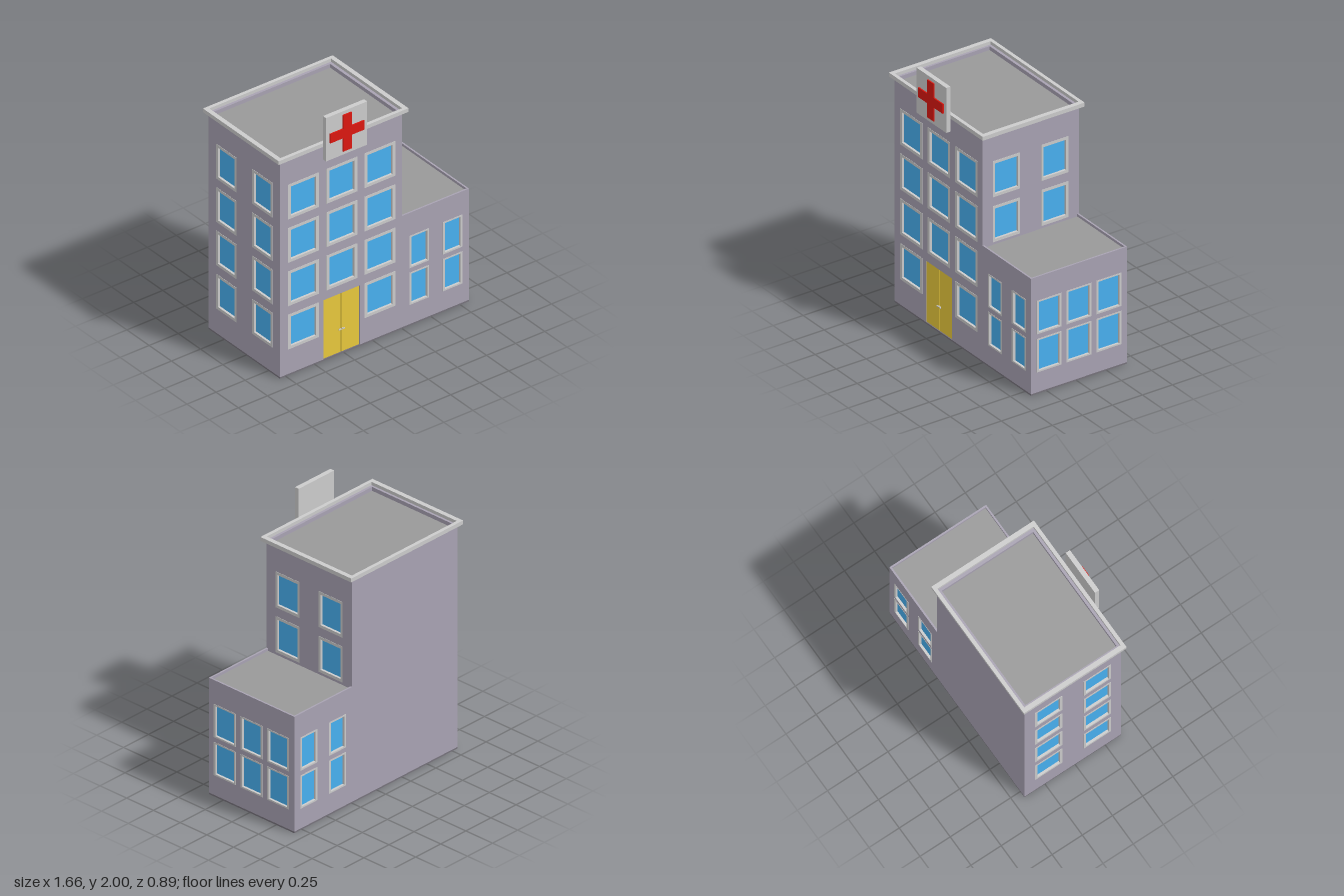
import * as THREE from 'three';

const mat = (color) => new THREE.MeshStandardMaterial({ color });
const WALL = mat(0xa8a2b2), GREY = mat(0xcccccc), GLASS = mat(0x48b0f0), ROOF = mat(0x999999);
const DOOR = mat(0xe8c83c), RED = mat(0xdc1810), DARK = mat(0x77737c);

const BASE = 0.012;               // height of the foundation
const BACK = -0.42, FRONT = 0.38; // shared depth of both blocks
const MID = (BACK + FRONT) / 2;

function add(parent, name, geometry, material, x = 0, y = 0, z = 0) {
  const mesh = new THREE.Mesh(geometry, material);
  mesh.name = name;
  mesh.position.set(x, y, z);
  parent.add(mesh);
  return mesh;
}

function box(parent, name, material, x0, x1, y0, y1, z0, z1) {
  return add(parent, name, new THREE.BoxGeometry(x1 - x0, y1 - y0, z1 - z0), material,
    (x0 + x1) / 2, (y0 + y1) / 2, (z0 + z1) / 2);
}

const corners = (x0, x1, y0, y1) =>
  [[x0, y0], [x1, y0], [x1, y1], [x0, y1]].map(([x, y]) => new THREE.Vector2(x, y));

const extrude = (shape, depth) => new THREE.ExtrudeGeometry(shape, { depth, bevelEnabled: false });

// Rectangular ring, open through the middle
function ring(outer, inner, depth) {
  const shape = new THREE.Shape(corners(...outer));
  shape.holes.push(new THREE.Path(corners(...inner)));
  return extrude(shape, depth);
}

// Every combination of column and row centres at one window size
const grid = (xs, ys, size) => ys.flatMap((y) => xs.map((x) => ({ x, y, ...size })));

// Wall panel whose outer face is local z = 0, with framed recessed windows and an optional doorway
function wall(parent, name, [x0, x1], top, t, windows, door) {
  const group = new THREE.Group();
  group.name = name;
  const outline = corners(x0, x1, BASE, top);
  if (door) {
    const [a, b, h] = door;
    outline.splice(1, 0, ...[[a, BASE], [a, h], [b, h], [b, BASE]].map((p) => new THREE.Vector2(...p)));
  }
  const shape = new THREE.Shape(outline);
  for (const { x, y, w, h, pw, ph } of windows) {
    const outer = [x - w / 2, x + w / 2, y - h / 2, y + h / 2];
    const inner = [x - pw / 2, x + pw / 2, y - ph / 2, y + ph / 2];
    shape.holes.push(new THREE.Path(corners(...outer)));
    add(group, 'windowFrame', ring(outer, inner, 0.024), GREY, 0, 0, -0.022);
    box(group, 'windowPane', GLASS, inner[0], inner[1], inner[2], inner[3], -0.021, -0.016);
  }
  add(group, 'wallPanel', extrude(shape, t), WALL, 0, 0, -t);
  parent.add(group);
  return group;
}

function buildTower() {
  const tower = new THREE.Group();
  tower.name = 'tower';
  const x0 = -0.8, x1 = 0.25, top = 1.755, t = 0.022;
  const floors = [0.35, 0.7, 1.05, 1.4];
  const large = { w: 0.265, h: 0.28, pw: 0.215, ph: 0.236 };
  const narrow = { w: 0.225, h: 0.28, pw: 0.188, ph: 0.236 };

  // Walls
  const frontWindows = grid([-0.6, -0.27, 0.057], floors, large)
    .filter((o) => !(o.x === -0.27 && o.y === 0.35));
  wall(tower, 'frontWall', [x0, x1], top, t, frontWindows, [-0.427, -0.113, 0.49]).position.z = FRONT;
  const back = wall(tower, 'backWall', [-x1, -x0], top, t, []);
  back.position.z = BACK;
  back.rotation.y = Math.PI;
  const right = wall(tower, 'wingSideWall', [-FRONT + t, -BACK - t], top, t,
    grid([-0.183, 0.22], floors.slice(2), narrow));
  right.position.x = x1;
  right.rotation.y = Math.PI / 2;
  const left = wall(tower, 'outerSideWall', [BACK + t, FRONT - t], top, t,
    grid([-0.22, 0.183], floors, narrow));
  left.position.x = x0;
  left.rotation.y = -Math.PI / 2;

  // Recessed roof and overhanging rim
  box(tower, 'towerRoof', ROOF, x0 + t, x1 - t, 1.70, 1.725, BACK + t, FRONT - t);
  const rim = ring([-0.83, 0.285, -0.405, 0.445], [-0.795, 0.25, -0.378, 0.418], 0.03);
  add(tower, 'roofRim', rim, GREY, 0, 1.75, 0).rotation.x = -Math.PI / 2;
  return tower;
}

function buildWing() {
  const wing = new THREE.Group();
  wing.name = 'wing';
  const x0 = 0.25, x1 = 0.825, top = 0.91, t = 0.013;
  const floors = [0.297, 0.594];
  const slim = { w: 0.168, h: 0.26, pw: 0.135, ph: 0.236 };
  const side = { w: 0.205, h: 0.26, pw: 0.172, ph: 0.236 };

  wall(wing, 'frontWall', [x0, x1], top, t, grid([0.397, 0.682], floors, slim)).position.z = FRONT;
  const back = wall(wing, 'backWall', [-x1, -x0], top, t, grid([-0.397, -0.682], floors, slim));
  back.position.z = BACK;
  back.rotation.y = Math.PI;
  const end = wall(wing, 'endWall', [-FRONT + t, -BACK - t], top, t,
    grid([-0.231, 0.018, 0.268], floors, side));
  end.position.x = x1;
  end.rotation.y = Math.PI / 2;
  box(wing, 'wingRoof', ROOF, x0, x1 - t, 0.865, 0.89, BACK + t, FRONT - t);
  return wing;
}

// Double door with a pull handle on each leaf
function buildDoor() {
  const door = new THREE.Group();
  door.name = 'door';
  const mid = -0.27;
  box(door, 'doorBacking', DARK, -0.427, -0.113, BASE, 0.49, 0.35, 0.36);
  for (const s of [-1, 1]) {
    const leaf = box(door, 'doorLeaf', DOOR, 0, 0.154, BASE, 0.488, 0.36, 0.372);
    leaf.position.x = mid + s * 0.08;
    add(door, 'doorHandle', new THREE.BoxGeometry(0.02, 0.008, 0.006), GREY, mid + s * 0.015, 0.2, 0.382);
    add(door, 'handleStem', new THREE.BoxGeometry(0.006, 0.008, 0.014), GREY, mid + s * 0.009, 0.2, 0.375);
  }
  return door;
}

// Rooftop board carrying a raised cross
function buildSign() {
  const sign = new THREE.Group();
  sign.name = 'sign';
  box(sign, 'signBoard', GREY, -0.45, -0.097, 1.65, 2, 0.405, 0.44);
  const a = 0.037, b = 0.146;
  const points = [[a, a], [a, b], [-a, b], [-a, a], [-b, a], [-b, -a],
    [-a, -a], [-a, -b], [a, -b], [a, -a], [b, -a], [b, a]];
  const cross = new THREE.Shape(points.map((p) => new THREE.Vector2(...p)));
  add(sign, 'signCross', extrude(cross, 0.01), RED, -0.273, 1.826, 0.44);
  return sign;
}

export function createModel() {
  const model = new THREE.Group();
  model.name = 'hospital';
  box(model, 'foundation', DARK, -0.8, 0.825, 0, BASE, BACK, FRONT);
  model.add(buildTower(), buildWing(), buildDoor(), buildSign());
  return model;
}
